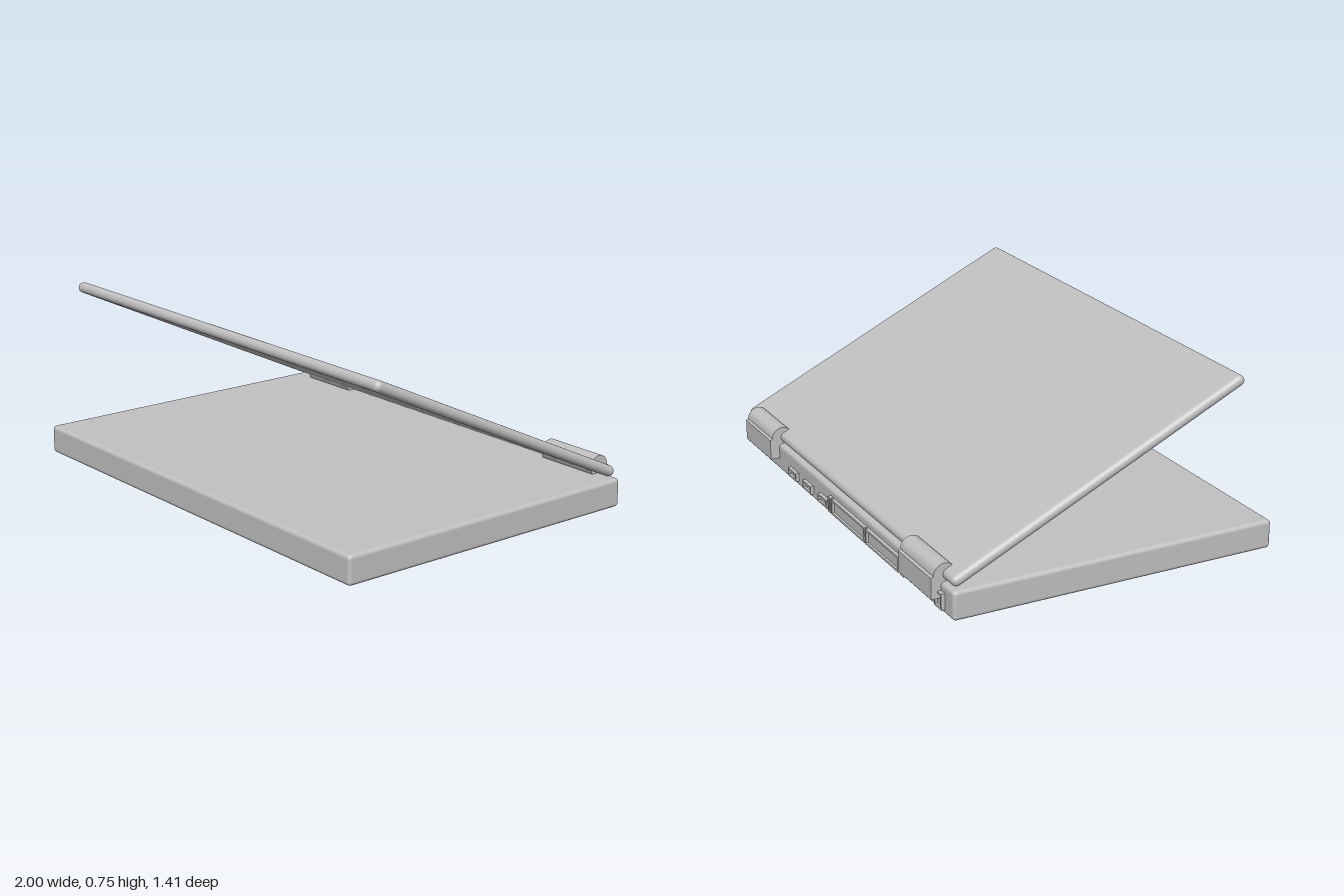
import * as THREE from 'three';
import { RoundedBoxGeometry } from 'three/addons/geometries/RoundedBoxGeometry.js';
import { toCreasedNormals } from 'three/addons/utils/BufferGeometryUtils.js';

const grey = new THREE.MeshStandardMaterial({ color: 0xc0c0c0 });
grey.name = 'casing grey';

function add(parent, name, geometry, x = 0, y = 0, z = 0) {
  const mesh = new THREE.Mesh(geometry, grey);
  mesh.name = name;
  mesh.position.set(x, y, z);
  parent.add(mesh);
  return mesh;
}

// Rectangular frame standing proud of the back face, with optional vertical ribs
function addFrame(parent, name, x0, x1, y0, y1, ribs = 0, t = 0.008) {
  const group = new THREE.Group();
  group.name = name;
  const z = -0.676, d = 0.018, w = x1 - x0, h = y1 - y0;
  const cx = (x0 + x1) / 2, cy = (y0 + y1) / 2;
  for (const y of [y0 + t / 2, y1 - t / 2]) add(group, 'frameRail', new THREE.BoxGeometry(w, t, d), cx, y, z);
  for (let i = 0; i <= ribs + 1; i++) {
    const x = x0 + t / 2 + (w - t) * i / (ribs + 1);
    add(group, 'frameRib', new THREE.BoxGeometry(t, h - 2 * t, d), x, cy, z);
  }
  add(group, 'framePanel', new THREE.BoxGeometry(w - 2 * t, h - 2 * t, 0.008), cx, cy, -0.671);
  parent.add(group);
}

export function createModel() {
  const model = new THREE.Group();
  model.name = 'laptop';

  // Base
  add(model, 'base', new RoundedBoxGeometry(2, 0.118, 1.375, 4, 0.016), 0, 0.084, 0.0175);

  // Lid, tilted open about the rear hinge
  const tilt = Math.atan2(0.56, 1.187);
  const lid = add(model, 'lid', new RoundedBoxGeometry(1.966, 0.044, 1.355, 5, 0.0215), 0, 0.45, -0.047);
  lid.rotation.x = -tilt;

  // Hinge profile: round barrel on top with a bracket down the back
  const profile = new THREE.Shape();
  profile.moveTo(0.665, 0.08);
  profile.lineTo(0.71, 0.08);
  profile.lineTo(0.71, 0.165);
  profile.lineTo(0.7, 0.17);
  profile.absarc(0.655, 0.17, 0.045, 0, Math.PI * 1.3, false);
  profile.closePath();

  for (const side of [-1, 1]) {
    const geometry = new THREE.ExtrudeGeometry(profile, { depth: 0.276, bevelEnabled: false, curveSegments: 24 });
    geometry.translate(0, 0, -0.138).rotateY(Math.PI / 2);
    add(model, side > 0 ? 'leftHinge' : 'rightHinge', toCreasedNormals(geometry, 0.6), side * 0.761);

    // Front foot
    add(model, side > 0 ? 'leftFoot' : 'rightFoot',
      new RoundedBoxGeometry(0.236, 0.034, 0.072, 3, 0.006), side * 0.762, 0.017, 0.574);
  }

  // Back ports and vents
  for (const [x0, x1] of [[0.415, 0.5], [0.26, 0.345], [0.1, 0.19]]) {
    addFrame(model, 'port', x0, x1, 0.05, 0.085);
  }
  addFrame(model, 'divider', 0.06, 0.085, 0.045, 0.11);
  addFrame(model, 'ventInner', -0.265, 0.05, 0.045, 0.11);
  addFrame(model, 'ventOuter', -0.57, -0.275, 0.045, 0.11);
  addFrame(model, 'endVent', -0.615, -0.585, 0.045, 0.11);
  addFrame(model, 'cornerSlot', -0.93, -0.87, 0.045, 0.11);

  return model;
}
